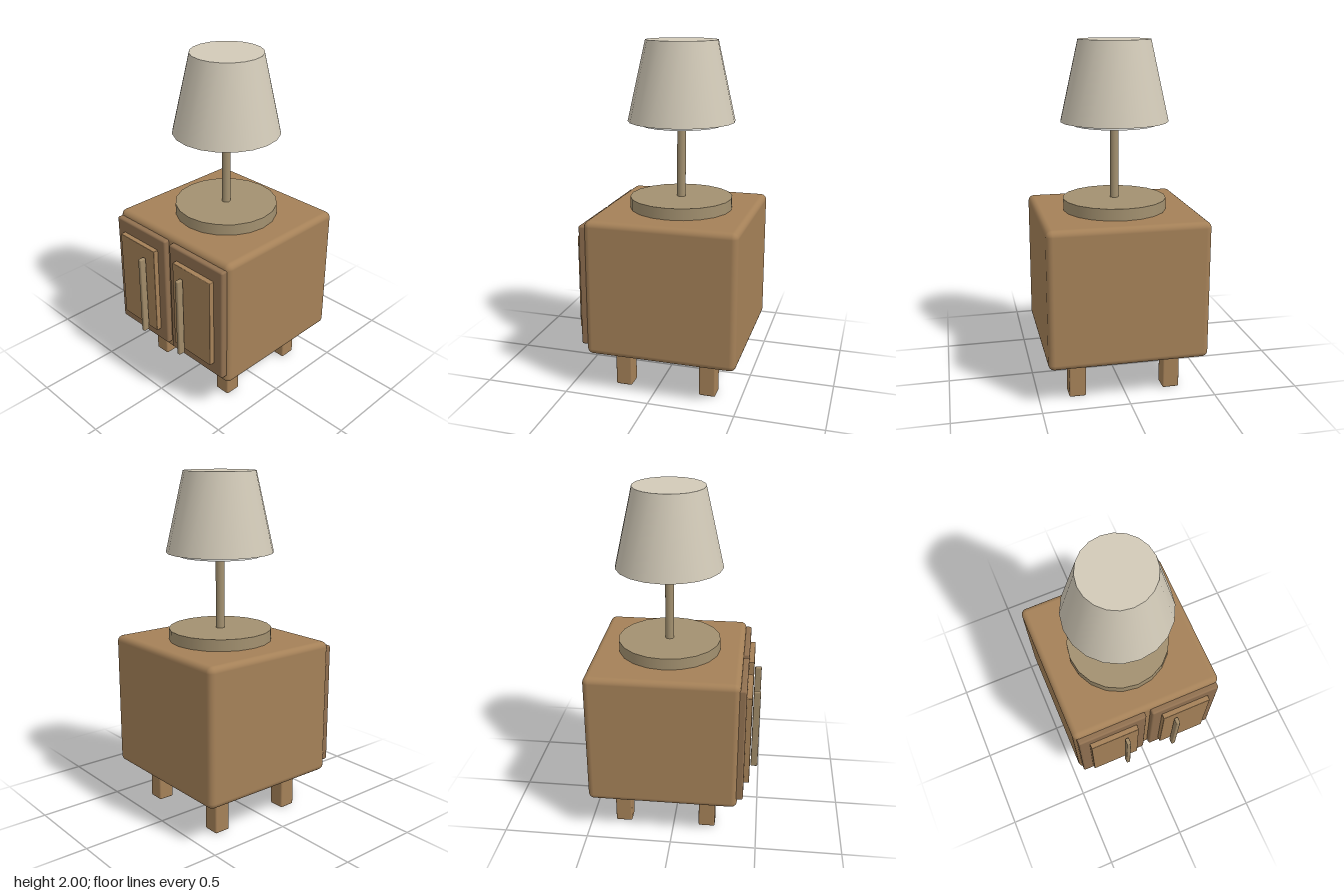
import * as THREE from 'three';
import { RoundedBoxGeometry } from 'three/addons/geometries/RoundedBoxGeometry.js';

const material = (color) => new THREE.MeshStandardMaterial({ color });

export function createModel() {
  const model = new THREE.Group();
  const wood = material(0xa58158);
  const doorWood = material(0x907050);
  const handleWood = material(0xa08a68);
  const lampWood = material(0xa39170);
  const fabric = material(0xd2cab8);
  const white = material(0xe8e8e4);

  const add = (name, geometry, mat, x, y, z) => {
    const mesh = new THREE.Mesh(geometry, mat);
    mesh.name = name;
    mesh.position.set(x, y, z);
    model.add(mesh);
  };

  // Rounded box given by its lower and upper corners
  const box = (name, [x0, y0, z0], [x1, y1, z1], radius, mat) =>
    add(name, new RoundedBoxGeometry(x1 - x0, y1 - y0, z1 - z0, 3, radius), mat,
      (x0 + x1) / 2, (y0 + y1) / 2, (z0 + z1) / 2);

  // Upright round lamp part between two heights
  const lampZ = -0.058;
  const round = (name, rTop, rBottom, y0, y1, mat) =>
    add(name, new THREE.CylinderGeometry(rTop, rBottom, y1 - y0, 20), mat, 0, (y0 + y1) / 2, lampZ);

  // Cabinet
  box('cabinetBody', [-0.458, 0.235, -0.492], [0.458, 1.035, 0.382], 0.035, wood);

  for (const side of [1, -1]) {
    const label = side > 0 ? 'left' : 'right';
    const mirrored = (part, a, b, y0, y1, z0, z1, radius, mat) =>
      box(label + part, [Math.min(side * a, side * b), y0, z0],
        [Math.max(side * a, side * b), y1, z1], radius, mat);

    // Door with raised panel and bar handle
    mirrored('Door', 0.018, 0.442, 0.29, 1.003, 0.35, 0.415, 0.012, doorWood);
    mirrored('DoorPanel', 0.08, 0.378, 0.37, 0.923, 0.40, 0.446, 0.004, wood);
    mirrored('Handle', 0.147, 0.172, 0.35, 0.855, 0.45, 0.491, 0.007, handleWood);

    // Legs
    mirrored('FrontLeg', 0.228, 0.326, 0, 0.245, 0.152, 0.25, 0.01, wood);
    mirrored('BackLeg', 0.228, 0.326, 0, 0.245, -0.354, -0.256, 0.01, wood);
  }

  // Table lamp
  round('lampBase', 0.3, 0.3, 1.03, 1.102, lampWood);
  round('lampPole', 0.025, 0.025, 1.09, 1.535, lampWood);
  round('lampDiffuser', 0.24, 0.24, 1.525, 1.56, white);
  round('lampShade', 0.206, 0.309, 1.545, 2, fabric);

  return model;
}
